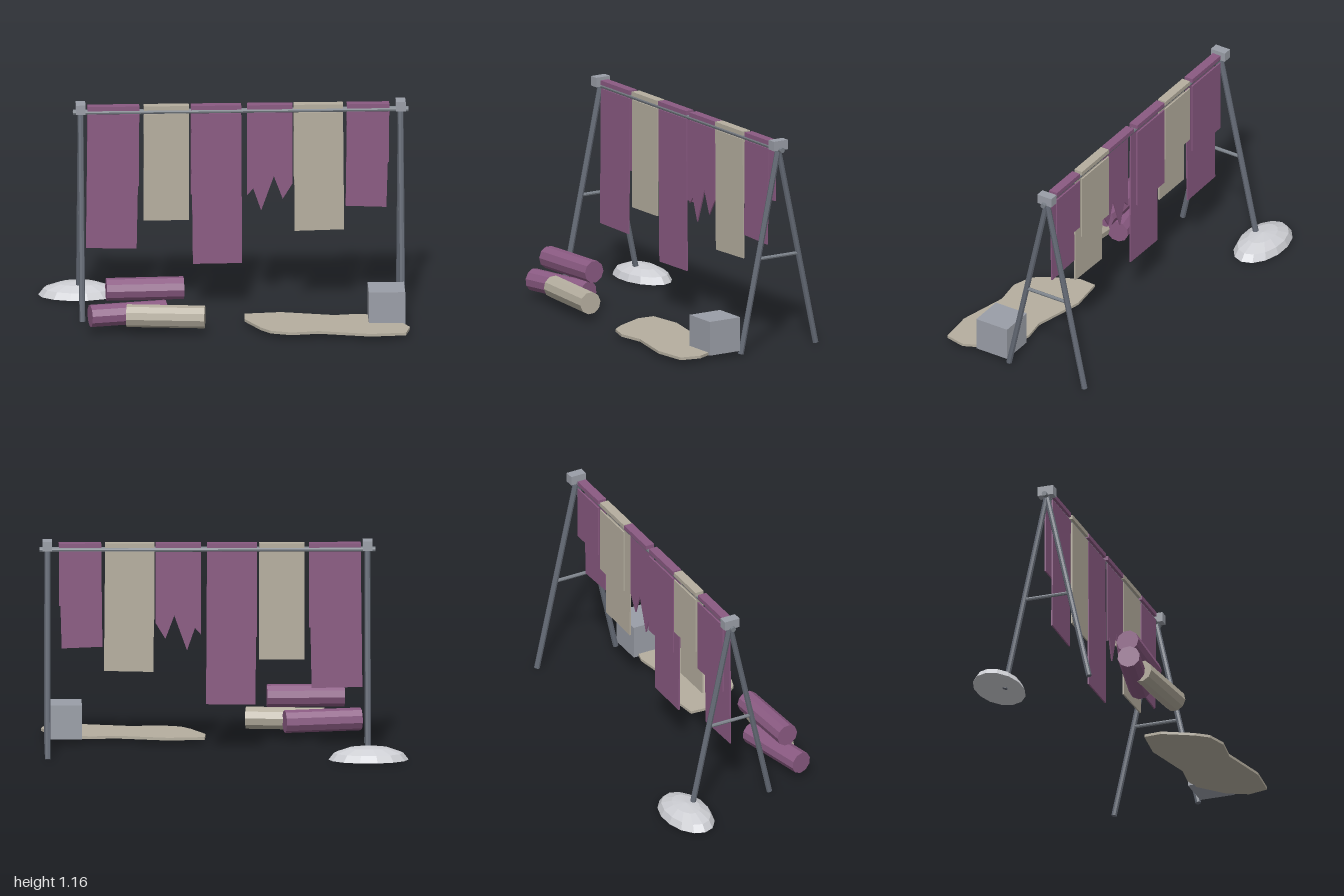
import * as THREE from 'three';

const mat = (name, color, extra = {}) => {
  const m = new THREE.MeshStandardMaterial({ color, flatShading: true, ...extra });
  m.name = name;
  return m;
};

export function createModel() {
  const group = new THREE.Group();
  const purple = mat('purple cloth', 0x8a5a82);
  const beige = mat('beige cloth', 0xb5ae9f);
  const steel = mat('dark steel', 0x646a75);
  const rail = mat('rail steel', 0x7b8189);
  const grey = mat('grey block', 0x9a9ea7);
  const pale = mat('pale mound', 0xcdced3);

  const add = (name, geo, material, x = 0, y = 0, z = 0, parent = group) => {
    const m = new THREE.Mesh(geo, material);
    m.name = name;
    m.position.set(x, y, z);
    parent.add(m);
    return m;
  };

  // Straight faceted bar between two points
  const bar = (name, a, b, r, sides, material, parent = group) => {
    const p = new THREE.Vector3(...a), q = new THREE.Vector3(...b);
    const d = q.clone().sub(p);
    const m = add(name, new THREE.CylinderGeometry(r, r, d.length(), sides), material, 0, 0, 0, parent);
    m.position.copy(p).add(q).multiplyScalar(0.5);
    m.quaternion.setFromUnitVectors(new THREE.Vector3(0, 1, 0), d.normalize());
    return m;
  };

  // Thin sheet from an outline, its front face at z
  const sheet = (name, pts, z, material, parent) => {
    const shape = new THREE.Shape(pts.map(p => new THREE.Vector2(...p)));
    const geo = new THREE.ExtrudeGeometry(shape, { depth: 0.008, bevelEnabled: false });
    return add(name, geo, material, 0, 0, z - 0.008, parent);
  };

  // A-frame at each end
  const railY = 1.117, railZ = -0.13;
  for (const x of [-0.78, 0.955]) {
    const frame = new THREE.Group();
    frame.name = 'endFrame';
    group.add(frame);
    for (const footZ of [0.113, -0.373]) {
      bar('leg', [x, 0.006, footZ], [x, railY, railZ], 0.016, 8, steel, frame);
    }
    bar('brace', [x, 0.52, -0.005], [x, 0.52, -0.255], 0.01, 8, rail, frame);
    add('topBlock', new THREE.BoxGeometry(0.052, 0.053, 0.09), grey, x, 1.141, railZ, frame);
  }
  bar('rail', [-0.822, railY, railZ], [0.998, railY, railZ], 0.0145, 10, rail);

  // Hanging cloths: cap span, then the bottom edge from left to right, back hem height
  const cloths = [
    { x: [-0.743, -0.462], hem: [[-0.752, 0.356], [-0.477, 0.35]], back: 0.69, m: purple },
    { x: [-0.438, -0.193], hem: [[-0.439, 0.508], [-0.193, 0.508]], back: 0.78, m: beige },
    { x: [-0.182, 0.09], hem: [[-0.172, 0.26], [0.095, 0.262]], back: 0.64, m: purple },
    {
      x: [0.122, 0.369], m: purple,
      hem: [[0.122, 0.645], [0.155, 0.682], [0.198, 0.558], [0.267, 0.75], [0.315, 0.622], [0.369, 0.71]],
    },
    { x: [0.374, 0.642], hem: [[0.38, 0.44], [0.648, 0.446]], back: 0.735, m: beige },
    { x: [0.663, 0.893], hem: [[0.656, 0.579], [0.877, 0.57]], back: 0.81, m: purple },
  ];
  const topY = 1.108;
  for (const { x: [a, b], hem, back, m } of cloths) {
    const cloth = new THREE.Group();
    cloth.name = 'hangingCloth';
    group.add(cloth);
    add('clothFold', new THREE.BoxGeometry(b - a, 0.024, 0.05), m, (a + b) / 2, 1.141, railZ, cloth);
    sheet('frontPanel', [...hem, [b, topY], [a, topY]], -0.107, m, cloth);
    if (back) sheet('backPanel', [[a, back], [b, back], [b, topY], [a, topY]], -0.148, m, cloth);
  }

  // Stacked cloth rolls
  bar('lowerRoll', [-0.746, 0.102, 0.329], [-0.334, 0.102, 0.246], 0.062, 10, purple);
  bar('lowerRoll', [-0.548, 0.102, 0.329], [-0.126, 0.102, 0.372], 0.062, 10, beige);
  bar('upperRoll', [-0.658, 0.24, 0.291], [-0.238, 0.24, 0.273], 0.062, 10, purple);

  // Irregular cloth lying on the ground
  const outline = [
    [0.1, 0.112], [0.297, 0.09], [0.585, 0.158], [0.714, 0.139], [0.8, 0.16], [0.93, 0.28],
    [0.985, 0.396], [0.96, 0.508], [0.767, 0.525], [0.49, 0.46], [0.34, 0.481], [0.227, 0.444],
    [0.174, 0.374], [0.094, 0.21],
  ];
  const spread = new THREE.ExtrudeGeometry(
    new THREE.Shape(outline.map(p => new THREE.Vector2(...p))), { depth: 0.015, bevelEnabled: false });
  spread.rotateX(Math.PI / 2);
  add('groundCloth', spread, beige, 0, 0.041, 0);

  // Crate standing on it
  add('crate', new THREE.BoxGeometry(0.197, 0.188, 0.198), grey, 0.864, 0.12, 0.221);

  // Low faceted mound with a flat base
  const dome = add('mound', new THREE.SphereGeometry(1, 14, 3, 0, Math.PI * 2, 0, Math.PI / 2), pale, -0.783, 0.008, -0.403);
  dome.scale.set(0.217, 0.075, 0.132);
  const base = new THREE.CircleGeometry(1, 14);
  base.rotateX(Math.PI / 2);
  add('moundBase', base, pale, -0.783, 0.008, -0.403).scale.set(0.217, 1, 0.132);

  return group;
}
